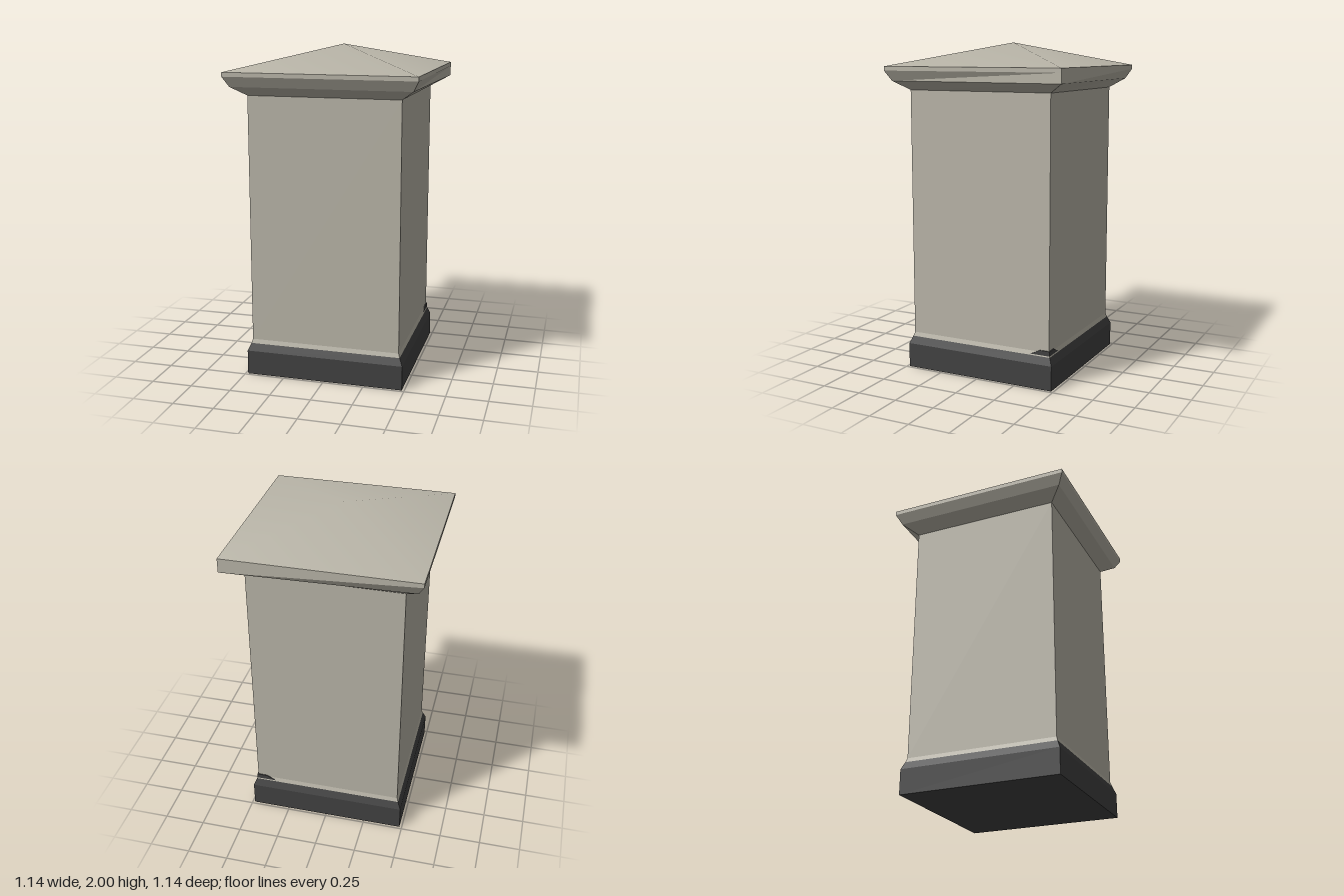
import * as THREE from 'three';

const stone = new THREE.MeshStandardMaterial({ color: 0xbab6a9 });
stone.name = 'pale stone';
const dark = new THREE.MeshStandardMaterial({ color: 0x424242 });
dark.name = 'dark base';

// Four corners of a square ring, counterclockwise from above.
// "backHalf" optionally pushes out the left back corner on its own.
function ring(half, y, backHalf = half) {
  return [[half, y, half], [backHalf, y, -backHalf], [-half, y, -half], [-half, y, half]];
}

// Flat-sided walls through a stack of rings, lowest first
function loft(rings, bottom = false) {
  const pos = [];
  const quad = (a, b, c, d) => pos.push(...a, ...b, ...c, ...a, ...c, ...d);
  for (let r = 0; r < rings.length - 1; r++) {
    const lo = rings[r], hi = rings[r + 1];
    for (let i = 0; i < 4; i++) {
      const j = (i + 1) % 4;
      quad(lo[i], lo[j], hi[j], hi[i]);
    }
  }
  if (bottom) quad(...[...rings[0]].reverse());
  const g = new THREE.BufferGeometry();
  g.setAttribute('position', new THREE.Float32BufferAttribute(pos, 3));
  g.computeVertexNormals();
  return g;
}

export function createModel() {
  const group = new THREE.Group();
  const add = (name, geometry, material) => {
    const mesh = new THREE.Mesh(geometry, material);
    mesh.name = name;
    group.add(mesh);
    return mesh;
  };

  // Plinth with a bevelled top edge
  add('plinth', loft([ring(0.485, 0), ring(0.485, 0.15), ring(0.466, 0.195)], true), dark);

  // Shaft, starting with the last of the bevel
  add('shaft', loft([ring(0.466, 0.195), ring(0.458, 0.22), ring(0.458, 1.72)]), stone);

  // Dark rise on both faces of the left back corner
  for (const s of [1, -1]) {
    const shape = new THREE.Shape([
      [0.464, 0.17], [0.464, 0.23], [0.4, 0.23], [0.36, 0.21], [0.28, 0.18], [0.28, 0.17],
    ].map(([x, y]) => new THREE.Vector2(s * x, y)));
    const geometry = new THREE.ExtrudeGeometry(shape, { depth: 0.009, bevelEnabled: false });
    geometry.translate(0, 0, 0.455).rotateY(s > 0 ? Math.PI / 2 : Math.PI);
    add(s > 0 ? 'leftCornerRise' : 'backCornerRise', geometry, dark);
  }

  // Flared cornice and fascia, square-cut at the left back corner
  add('cornice', loft([
    ring(0.458, 1.72), ring(0.537, 1.775, 0.57), ring(0.57, 1.835), ring(0.57, 1.86),
  ]), stone);

  // Low pyramid roof with softly shaded hips
  const roof = new THREE.BufferGeometry();
  roof.setAttribute('position', new THREE.Float32BufferAttribute(
    [...ring(0.57, 1.86).flat(), 0, 2, 0], 3));
  roof.setIndex([0, 1, 4, 1, 2, 4, 2, 3, 4, 3, 0, 4]);
  roof.computeVertexNormals();
  add('roof', roof, stone);

  return group;
}
